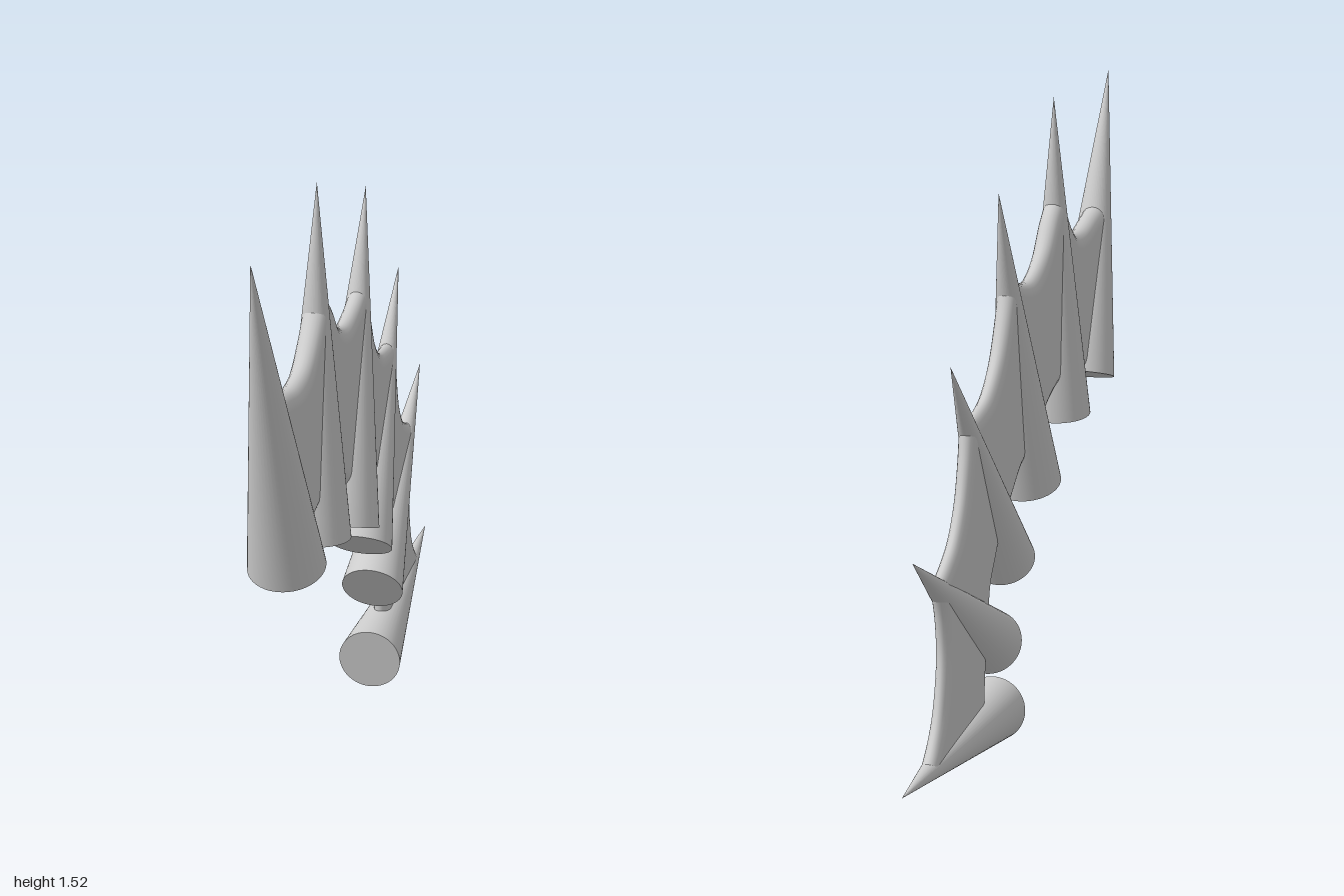
import * as THREE from 'three';

// Spikes as [z, y] of base centre, [z, y] of tip, base radius
const SPIKES = [
  [[0.70, 0.706], [1.00, 1.495], 0.091],
  [[0.424, 0.675], [0.378, 1.525], 0.089],
  [[0.10, 0.585], [-0.163, 1.387], 0.09],
  [[-0.12, 0.449], [-0.586, 1.07], 0.079],
  [[-0.254, 0.278], [-0.90, 0.703], 0.081],
  [[-0.221, 0.088], [-1.00, 0.182], 0.082],
];

// Web panels between neighbouring spikes: outer and inner edge as [z, y]
const PANELS = [
  { outer: [[0.875, 1.155], [0.76, 1.135], [0.65, 1.12], [0.545, 1.135], [0.464, 1.19], [0.388, 1.265]],
    inner: [[0.71, 0.70], [0.61, 0.737], [0.51, 0.758], [0.42, 0.77]] },
  { outer: [[0.388, 1.265], [0.33, 1.225], [0.25, 1.153], [0.127, 1.11], [0.01, 1.124], [-0.09, 1.158]],
    inner: [[0.42, 0.77], [0.33, 0.765], [0.22, 0.738], [0.08, 0.67]] },
  { outer: [[-0.09, 1.158], [-0.125, 1.082], [-0.19, 0.987], [-0.286, 0.92], [-0.378, 0.902], [-0.46, 0.90]],
    inner: [[0.08, 0.67], [-0.02, 0.655], [-0.12, 0.60], [-0.21, 0.555]] },
  { outer: [[-0.46, 0.90], [-0.48, 0.815], [-0.517, 0.724], [-0.58, 0.65], [-0.65, 0.612], [-0.72, 0.588]],
    inner: [[-0.21, 0.555], [-0.26, 0.495], [-0.305, 0.44], [-0.33, 0.33]] },
  { outer: [[-0.72, 0.588], [-0.688, 0.495], [-0.68, 0.39], [-0.715, 0.27], [-0.76, 0.21], [-0.82, 0.162]],
    inner: [[-0.33, 0.33], [-0.345, 0.27], [-0.355, 0.19], [-0.36, 0.11]] },
];

const material = new THREE.MeshStandardMaterial({ color: 0xcccccc });
const at = ([z, y]) => new THREE.Vector3(0, y, z);

function spike(base, tip, radius) {
  const from = at(base);
  const axis = at(tip).sub(from);
  const h = axis.length();
  const geo = new THREE.ConeGeometry(radius, h, 48).translate(0, h / 2, 0);
  const mesh = new THREE.Mesh(geo, material);
  mesh.quaternion.setFromUnitVectors(new THREE.Vector3(0, 1, 0), axis.normalize());
  mesh.position.copy(from);
  return mesh;
}

// Slab with rounded outer and inner edges, thinning towards the back
function webPanel({ outer, inner }) {
  const outerCurve = new THREE.CatmullRomCurve3(outer.map(at));
  const innerCurve = new THREE.CatmullRomCurve3(inner.map(at));
  const steps = 32, cap = 10, ring = 2 * (cap + 1), edge = 0.04;
  const pos = [], index = [];
  for (let i = 0; i <= steps; i++) {
    const o = outerCurve.getPoint(i / steps);
    const n = innerCurve.getPoint(i / steps);
    const dir = o.clone().sub(n).normalize();
    for (let j = 0; j < ring; j++) {
      const onOuter = j <= cap;
      const a = Math.PI * ((onOuter ? j : j - cap - 1) / cap - 0.5);
      const sign = onOuter ? 1 : -1;
      const p = (onOuter ? o : n).clone().addScaledVector(dir, sign * edge * (Math.cos(a) - 1));
      const half = 0.026 + 0.008 * p.z;
      pos.push(sign * half * Math.sin(a), p.y, p.z);
    }
  }
  for (let i = 0; i < steps; i++) {
    for (let j = 0; j < ring; j++) {
      const k = (j + 1) % ring;
      const a = i * ring + j, b = i * ring + k;
      index.push(a, b, a + ring, b, b + ring, a + ring);
    }
  }
  const geo = new THREE.BufferGeometry();
  geo.setAttribute('position', new THREE.Float32BufferAttribute(pos, 3));
  geo.setIndex(index);
  geo.computeVertexNormals();
  return new THREE.Mesh(geo, material);
}

export function createModel() {
  const group = new THREE.Group();
  group.name = 'spinedCrest';
  SPIKES.forEach((s, i) => {
    const mesh = spike(...s);
    mesh.name = `spike${i + 1}`;
    group.add(mesh);
  });
  PANELS.forEach((p, i) => {
    const mesh = webPanel(p);
    mesh.name = `webPanel${i + 1}`;
    group.add(mesh);
  });
  return group;
}
